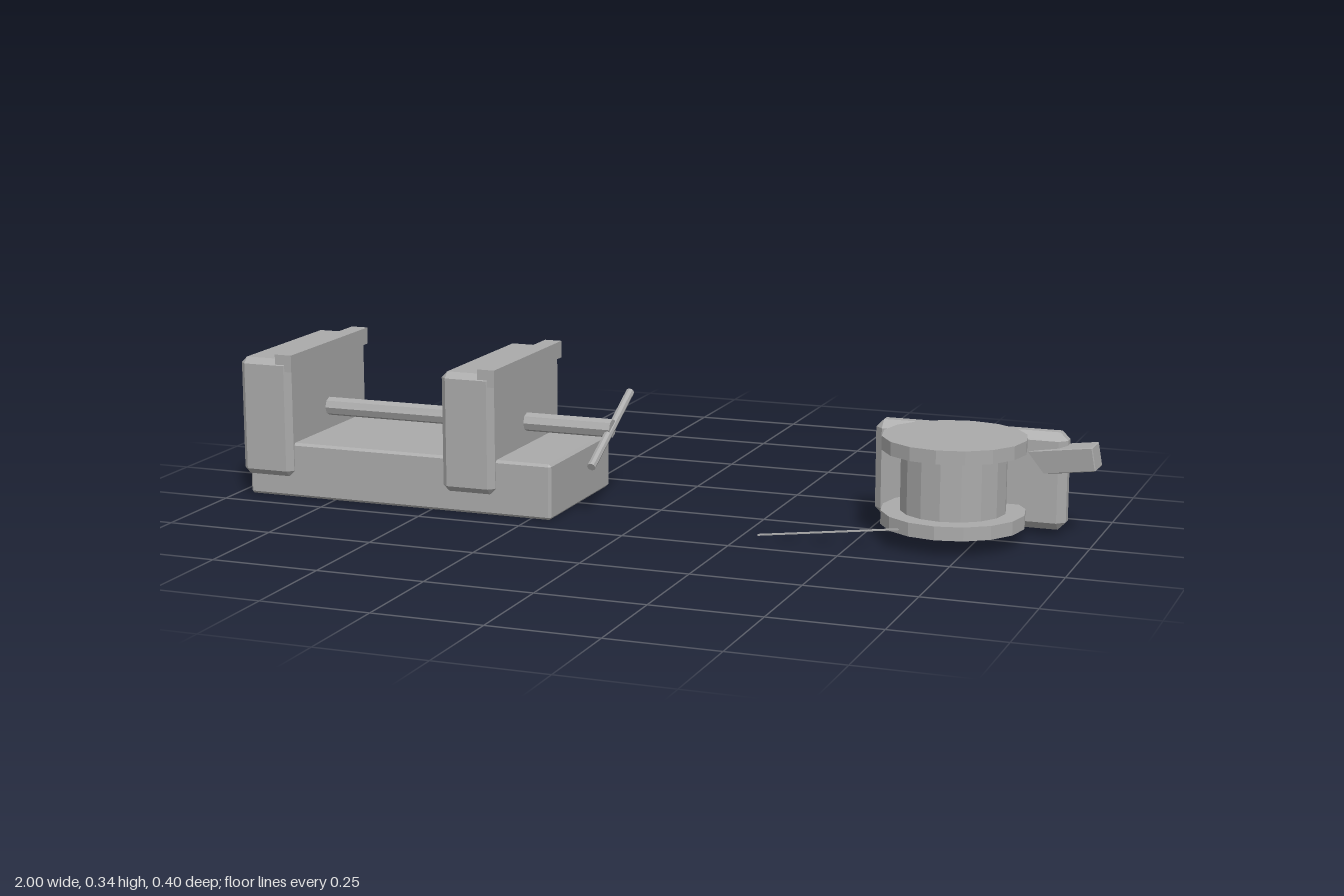
import * as THREE from 'three';
import { ConvexGeometry } from 'three/addons/geometries/ConvexGeometry.js';

const metal = new THREE.MeshStandardMaterial({ color: 0xaaaaaa, flatShading: true });
metal.name = 'plain grey';

// Box with every edge cut at 45 degrees
function chamferBox(w, h, d, c) {
  const points = [];
  for (const sx of [-1, 1]) for (const sy of [-1, 1]) for (const sz of [-1, 1]) {
    const x = w / 2, y = h / 2, z = d / 2;
    points.push(
      new THREE.Vector3(sx * x, sy * (y - c), sz * (z - c)),
      new THREE.Vector3(sx * (x - c), sy * y, sz * (z - c)),
      new THREE.Vector3(sx * (x - c), sy * (y - c), sz * z));
  }
  return new ConvexGeometry(points);
}

function add(parent, name, geometry, x, y, z) {
  const mesh = new THREE.Mesh(geometry, metal);
  mesh.name = name;
  mesh.position.set(x, y, z);
  parent.add(mesh);
  return mesh;
}

// Straight part whose long y axis runs from a to b
function between(parent, name, a, b, makeGeometry) {
  const from = new THREE.Vector3(...a), to = new THREE.Vector3(...b);
  const dir = to.clone().sub(from);
  const mid = from.clone().add(to).multiplyScalar(0.5);
  const mesh = add(parent, name, makeGeometry(dir.length()), mid.x, mid.y, mid.z);
  mesh.quaternion.setFromUnitVectors(new THREE.Vector3(0, 1, 0), dir.normalize());
  return mesh;
}

function createVise() {
  const vise = new THREE.Group();
  vise.name = 'vise';
  add(vise, 'base', chamferBox(0.77, 0.13, 0.365, 0.006), -0.585, 0.065, 0);

  // Fixed and sliding jaws, each with a lip along the top edge
  for (const [name, x] of [['fixedJaw', -0.916], ['slidingJaw', -0.4]]) {
    add(vise, name, chamferBox(0.13, 0.28, 0.4, 0.014), x, 0.19, 0);
    add(vise, name + 'Lip', new THREE.BoxGeometry(0.042, 0.04, 0.396), x + 0.05, 0.322, 0);
  }

  // Lead screw with a tapered tip, and its slanted turning bar
  const screw = new THREE.LatheGeometry([
    [0, -0.44], [0.014, -0.44], [0.022, -0.428], [0.022, 0.44], [0, 0.44],
  ].map(([r, y]) => new THREE.Vector2(r, y)), 8);
  screw.rotateZ(-Math.PI / 2);
  add(vise, 'leadScrew', screw, -0.56, 0.184, 0);
  between(vise, 'turningBar', [-0.125, 0.118, 0.12], [-0.125, 0.246, -0.127],
    (length) => new THREE.CylinderGeometry(0.01, 0.01, length, 8));
  return vise;
}

function createSpoolSet() {
  const set = new THREE.Group();
  set.name = 'spoolSet';
  const x = 0.697, z = 0.022;

  // Spool
  add(set, 'spoolCore', new THREE.CylinderGeometry(0.118, 0.118, 0.15, 16), x, 0.135, z);
  for (const [name, y] of [['lowerFlange', 0.052], ['upperFlange', 0.22]])
    add(set, name, new THREE.CylinderGeometry(0.161, 0.161, 0.031, 16), x, y, z);

  // Thin loose end of wire trailing to the ground
  between(set, 'wireEnd', [0.29, 0.007, 0.163], [0.62, 0.047, 0.15],
    (length) => new THREE.BoxGeometry(0.003, length, 0.008));

  // Flat case behind the spool, with a slanted block at its end
  add(set, 'flatCase', chamferBox(0.44, 0.222, 0.058, 0.018), 0.706, 0.124, -0.102);
  const block = add(set, 'slantedBlock', chamferBox(0.165, 0.055, 0.05, 0.002), 0.912, 0.176, -0.092);
  block.rotation.set(0.08, -0.1, 0.16);
  return set;
}

export function createModel() {
  const model = new THREE.Group();
  model.name = 'viseAndSpool';
  model.add(createVise(), createSpoolSet());
  return model;
}
